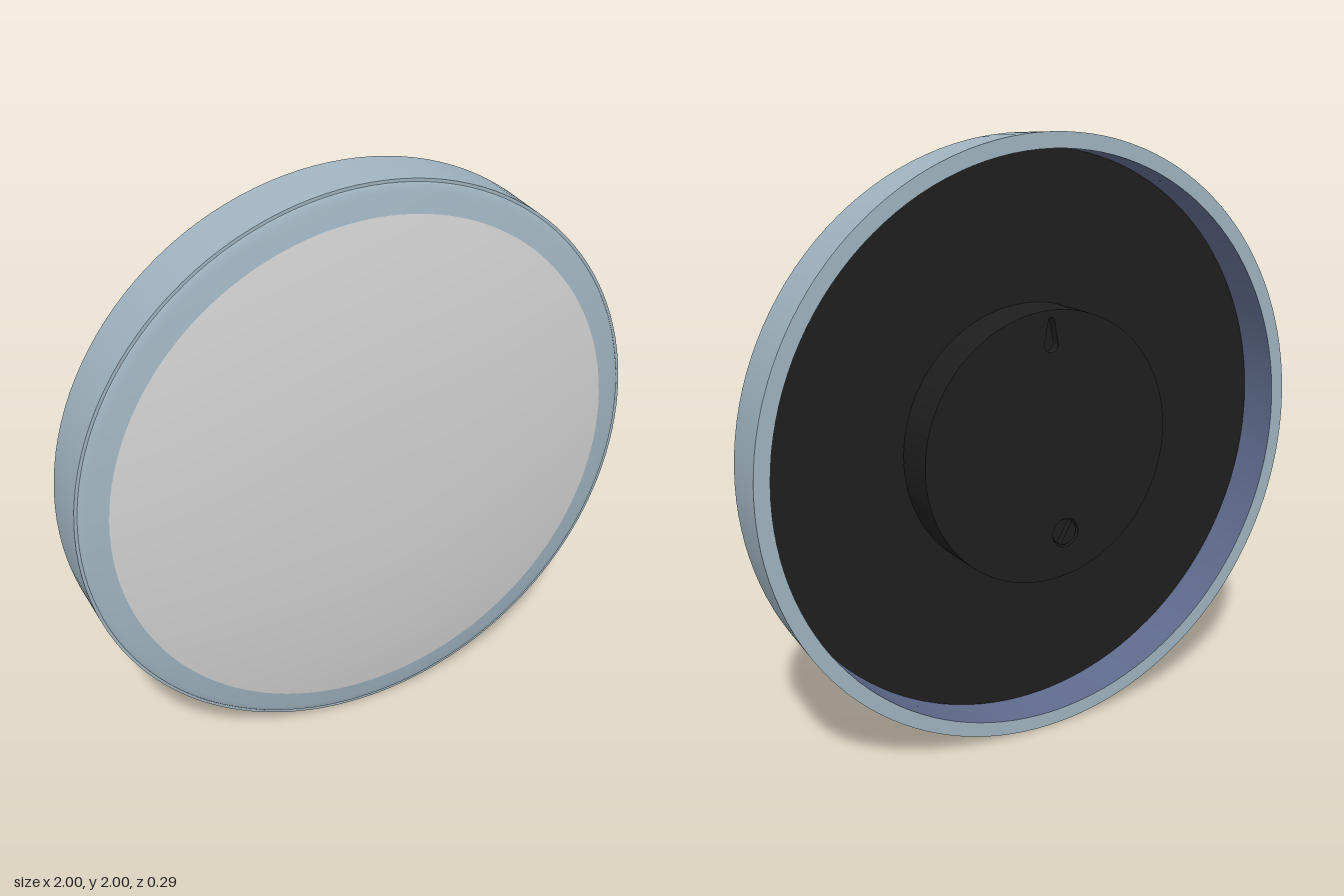
import * as THREE from 'three';

const mat = (name, color) => {
  const m = new THREE.MeshStandardMaterial({ color });
  m.name = name;
  return m;
};

export function createModel() {
  const model = new THREE.Group();
  model.name = 'roundPanel';
  const rimBlue = mat('greyBlue', 0x9fb3bf);
  const innerBlue = mat('slateBlue', 0x606c8e);
  const faceGrey = mat('lightGrey', 0xcfcfcf);
  const black = mat('black', 0x1e1e1e);
  const SEG = 128;

  // disc centre sits at y = 1, its axis along z
  const body = new THREE.Group();
  body.name = 'disc';
  body.position.y = 1;
  model.add(body);

  const add = (name, geometry, material) => {
    const mesh = new THREE.Mesh(geometry, material);
    mesh.name = name;
    body.add(mesh);
    return mesh;
  };
  // revolve [radius, z] points about z; the surface faces outward as z rises
  const revolve = (name, points, material) => add(
    name,
    new THREE.LatheGeometry(points.map(([r, z]) => new THREE.Vector2(r, z)), SEG).rotateX(Math.PI / 2),
    material
  );

  // rim, one surface per segment so its edges stay sharp
  revolve('rimBack', [[0.95, -0.145], [1, -0.145]], rimBlue);
  revolve('rimOuterWall', [[1, -0.145], [0.99, 0.045]], rimBlue);
  revolve('rimFrontLip', [[0.99, 0.045], [0.975, 0.045]], rimBlue);
  revolve('rimInnerWall', [[0.95, 0], [0.95, -0.145]], innerBlue);

  // domed front: coloured border band and pale centre on one curve
  const domeZ = (r) => 0.145 - 0.095 * Math.pow(r / 0.98, 2.3);
  const dome = (r0, r1, n) => Array.from({ length: n + 1 }, (_, i) => {
    const r = r0 + (r1 - r0) * i / n;
    return [r, domeZ(r)];
  });
  revolve('domeBorder', [[0.98, 0.045], ...dome(0.975, 0.89, 4)], rimBlue);
  revolve('domeFace', dome(0.89, 0, 24), faceGrey);

  // recessed back panel
  revolve('backPanel', [[0, 0], [0.95, 0]], black);

  // hub body
  const HUB = 0.457;
  revolve('hubWall', [[HUB, -0.145], [HUB, 0]], black);
  revolve('hubFloor', [[0, -0.115], [HUB, -0.115]], black);

  // hub cover with a keyhole and a round screw recess
  const cover = new THREE.Shape().absarc(0, 0, HUB - 0.001, 0, Math.PI * 2);
  const keyhole = new THREE.Path();
  keyhole.moveTo(0.012, 0.42);
  keyhole.absarc(0, 0.42, 0.012, 0, Math.PI, false);
  keyhole.lineTo(-0.026, 0.345);
  keyhole.absarc(0, 0.345, 0.026, Math.PI, Math.PI * 2, false);
  keyhole.closePath();
  const SX = -0.06, SY = -0.3, SR = 0.05;
  const recess = new THREE.Path().absarc(SX, SY, SR, 0, Math.PI * 2);
  cover.holes.push(keyhole, recess);
  add('hubCover', new THREE.ExtrudeGeometry(cover, {
    depth: 0.03, bevelEnabled: false, curveSegments: 48
  }), black).position.z = -0.145;

  // screw head: two half discs with a slot between them
  for (const side of [0, Math.PI]) {
    const half = new THREE.Shape().absarc(0, 0, 0.045, side + 0.18, side + Math.PI - 0.18);
    const head = add('screwHalf', new THREE.ExtrudeGeometry(half, {
      depth: 0.02, bevelEnabled: false, curveSegments: 16
    }), black);
    head.position.set(SX, SY, -0.138);
    head.rotation.z = 2.1;
  }

  return model;
}
